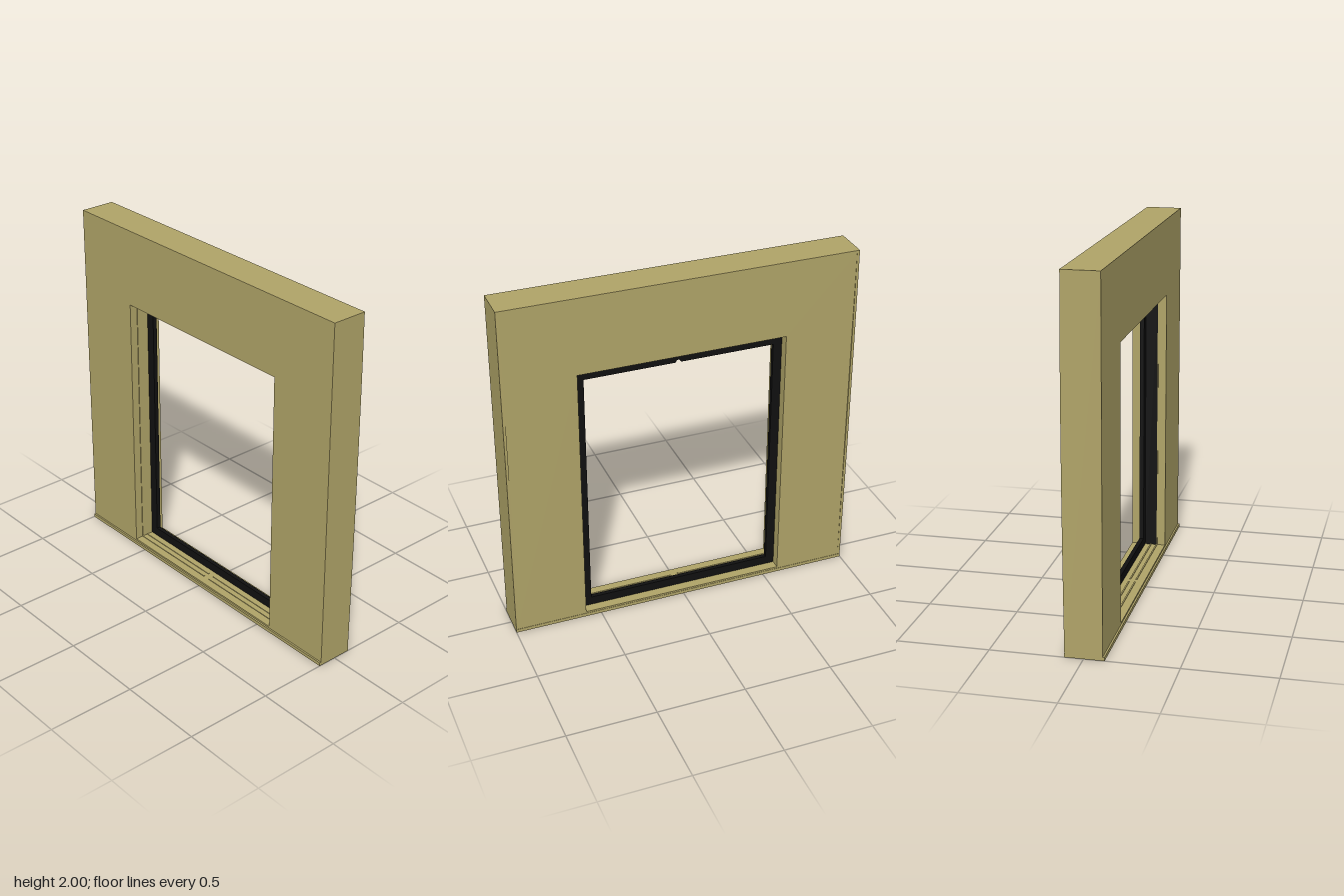
import * as THREE from 'three';

const tan = new THREE.MeshStandardMaterial({ color: 0xb0a468 });
const black = new THREE.MeshStandardMaterial({ color: 0x101010 });

export function createModel() {
  const model = new THREE.Group();

  function add(name, geometry, material) {
    const mesh = new THREE.Mesh(geometry, material);
    mesh.name = name;
    model.add(mesh);
    return mesh;
  }

  // Box given by its limits on each axis
  function box(name, [x0, x1], [y0, y1], [z0, z1], material = tan) {
    const mesh = add(name, new THREE.BoxGeometry(x1 - x0, y1 - y0, z1 - z0), material);
    mesh.position.set((x0 + x1) / 2, (y0 + y1) / 2, (z0 + z1) / 2);
  }

  const outline = (path, halfWidth, bottom, top) => path
    .moveTo(-halfWidth, bottom).lineTo(halfWidth, bottom)
    .lineTo(halfWidth, top).lineTo(-halfWidth, top).closePath();

  // Upright panel with a hole, extruded along x from x0 to x1
  function panel(name, shape, hole, x0, x1, material) {
    shape.holes.push(hole);
    const geometry = new THREE.ExtrudeGeometry(shape, { depth: x1 - x0, bevelEnabled: false, curveSegments: 10 });
    geometry.rotateY(Math.PI / 2).translate(x0, 0, 0);
    add(name, geometry, material);
  }
  function rectangle(halfWidth, bottom, top, Kind) {
    const path = new Kind();
    outline(path, halfWidth, bottom, top);
    return path;
  }

  // Wall with the window opening
  panel('wall', rectangle(1, 0, 2, THREE.Shape), rectangle(0.59, 0.03, 1.56, THREE.Path), -0.1, 0.1, tan);

  // Black window frame, with a small round notch in its head
  const inner = new THREE.Path();
  inner.moveTo(-0.54, 0.08).lineTo(0.54, 0.08).lineTo(0.54, 1.495).lineTo(0.005, 1.495);
  inner.absarc(-0.01, 1.495, 0.015, 0, Math.PI, false);
  inner.lineTo(-0.54, 1.495).closePath();
  panel('windowFrame', rectangle(0.59, 0.03, 1.56, THREE.Shape), inner, 0.02, 0.045, black);

  // Black lining on one jamb
  box('jambLining', [-0.05, 0.02], [0.03, 1.56], [0.588, 0.59], black);

  // Low guide beads round the opening, split at the middle of the sill
  for (const x of [-0.05, -0.015]) {
    for (const s of [-1, 1]) {
      box('sillBead', [x - 0.004, x + 0.004], [0.03, 0.034], [s < 0 ? -0.59 : 0.02, s < 0 ? -0.02 : 0.59]);
    }
  }
  box('jambBead', [-0.054, -0.05], [0.03, 1.56], [-0.59, -0.586]);
  box('jambBead', [-0.054, -0.05], [0.03, 1.56], [0.586, 0.59]);

  // Edge trim: slightly bowed uprights, thin rails and a foot strip
  const bow = new THREE.Shape();
  bow.moveTo(0.095, 0).lineTo(0.1, 0);
  bow.quadraticCurveTo(0.112, 1.2, 0.101, 2);
  bow.lineTo(0.095, 2).closePath();
  for (const z of [-1, 0.985]) {
    const geometry = new THREE.ExtrudeGeometry(bow, { depth: 0.015, bevelEnabled: false, curveSegments: 16 });
    add('uprightTrim', geometry.translate(0, 0, z), tan);
  }
  box('topTrim', [0.095, 0.102], [1.985, 2], [-1, 1]);
  box('bottomTrim', [0.095, 0.102], [0, 0.02], [-1, 1]);
  box('footStrip', [-0.11, -0.095], [0, 0.02], [-1, 1]);

  return model;
}
